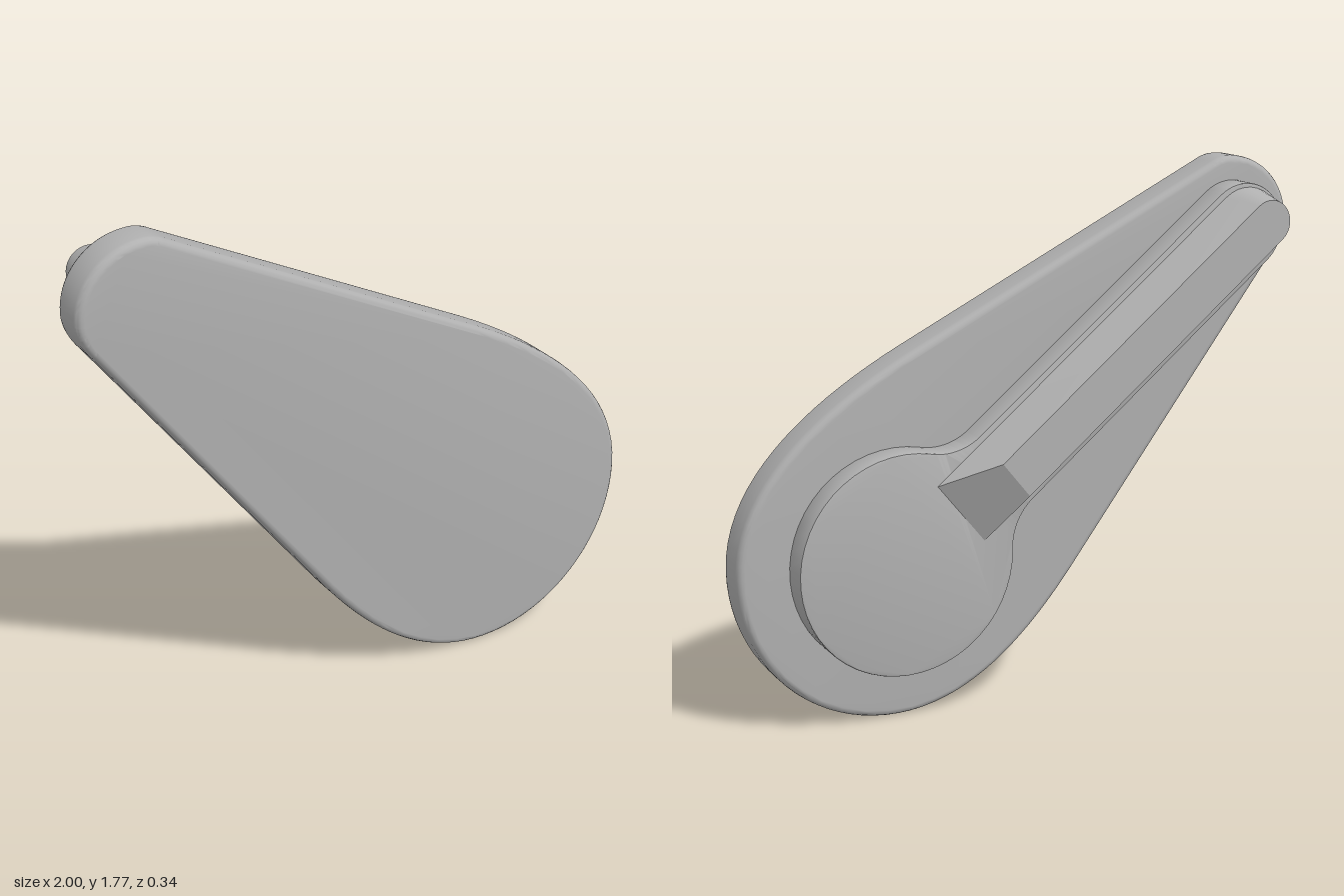
import * as THREE from 'three';
import { toCreasedNormals } from 'three/addons/utils/BufferGeometryUtils.js';

const grey = new THREE.MeshStandardMaterial({ color: 0xb0b0b0 });
grey.name = 'plain grey';

function mesh(name, geometry, crease) {
  const m = new THREE.Mesh(toCreasedNormals(geometry, crease), grey);
  m.name = name;
  return m;
}

// Extrude a shape between two depths with rounded rims kept inside the outline
function slab(shape, z0, z1, size, thick, bevelSegments) {
  const g = new THREE.ExtrudeGeometry(shape, {
    depth: z1 - z0 - 2 * thick, curveSegments: 20, bevelEnabled: true,
    bevelSize: size, bevelThickness: thick, bevelOffset: -size, bevelSegments,
  });
  return g.translate(0, 0, z0 + thick);
}

// Teardrop plate outline
function plateShape() {
  const s = new THREE.Shape();
  s.moveTo(-0.70, 1.75);
  s.lineTo(0.40, 1.21);
  s.bezierCurveTo(0.66, 1.08, 1.0, 0.86, 1.0, 0.54);
  s.bezierCurveTo(1.0, 0.24, 0.76, 0.0, 0.46, 0.0);
  s.bezierCurveTo(0.17, 0.0, -0.05, 0.24, -0.20, 0.44);
  s.lineTo(-0.95, 1.43);
  s.quadraticCurveTo(-1.0, 1.49, -1.0, 1.55);
  s.bezierCurveTo(-1.0, 1.67, -0.90, 1.77, -0.77, 1.77);
  s.quadraticCurveTo(-0.735, 1.77, -0.70, 1.75);
  return s;
}

// Round boss with an arm along +x, joined by concave fillets
function keyholeShape(R, w, length, f) {
  const dx = Math.sqrt((R + f) ** 2 - (w + f) ** 2);
  const a = Math.atan2(w + f, dx);
  const s = new THREE.Shape();
  s.absarc(0, 0, R, a, 2 * Math.PI - a, false);
  s.absarc(dx, -(w + f), f, Math.PI - a, Math.PI / 2, true);
  s.absarc(length, 0, w, -Math.PI / 2, Math.PI / 2, false);
  s.absarc(dx, w + f, f, -Math.PI / 2, a - Math.PI, true);
  return s;
}

// Ridge section: square at the start, round at the tip
function ridgeRing(w, start, tip, z) {
  const pts = [[start, -w, z]];
  for (let i = 0; i <= 16; i++) {
    const a = -Math.PI / 2 + (Math.PI * i) / 16;
    pts.push([tip + w * Math.cos(a), w * Math.sin(a), z]);
  }
  pts.push([start, w, z]);
  return pts;
}

// Tapered grip lofted from the base section to the top section
function ridgeGeometry() {
  const base = ridgeRing(0.13, 0.235, 1.595, -0.064);
  const top = ridgeRing(0.075, 0.425, 1.63, -0.17);
  const n = base.length, index = [];
  for (let i = 0; i < n; i++) {
    const j = (i + 1) % n;
    index.push(n + i, n + j, j, n + i, j, i);
    if (i > 0 && i < n - 1) index.push(n, n + i + 1, n + i);
  }
  const g = new THREE.BufferGeometry();
  g.setAttribute('position', new THREE.Float32BufferAttribute([...base, ...top].flat(), 3));
  g.setIndex(index);
  return g;
}

export function createModel() {
  const model = new THREE.Group();
  model.name = 'teardropHandle';

  model.add(mesh('facePlate', slab(plateShape(), 0.028, 0.168, 0.022, 0.028, 4), 0.6));

  // Back parts share an axis running from the boss towards the narrow end
  const back = new THREE.Group();
  back.name = 'backLever';
  back.position.set(0.46, 0.54, 0);
  back.rotation.z = Math.atan2(1.0, -1.23);
  back.add(mesh('bossAndArm', slab(keyholeShape(0.37, 0.15, 1.585, 0.2), -0.065, 0.04, 0.006, 0.006, 2), 0.5));
  back.add(mesh('gripRidge', ridgeGeometry(), 0.4));
  model.add(back);

  return model;
}
